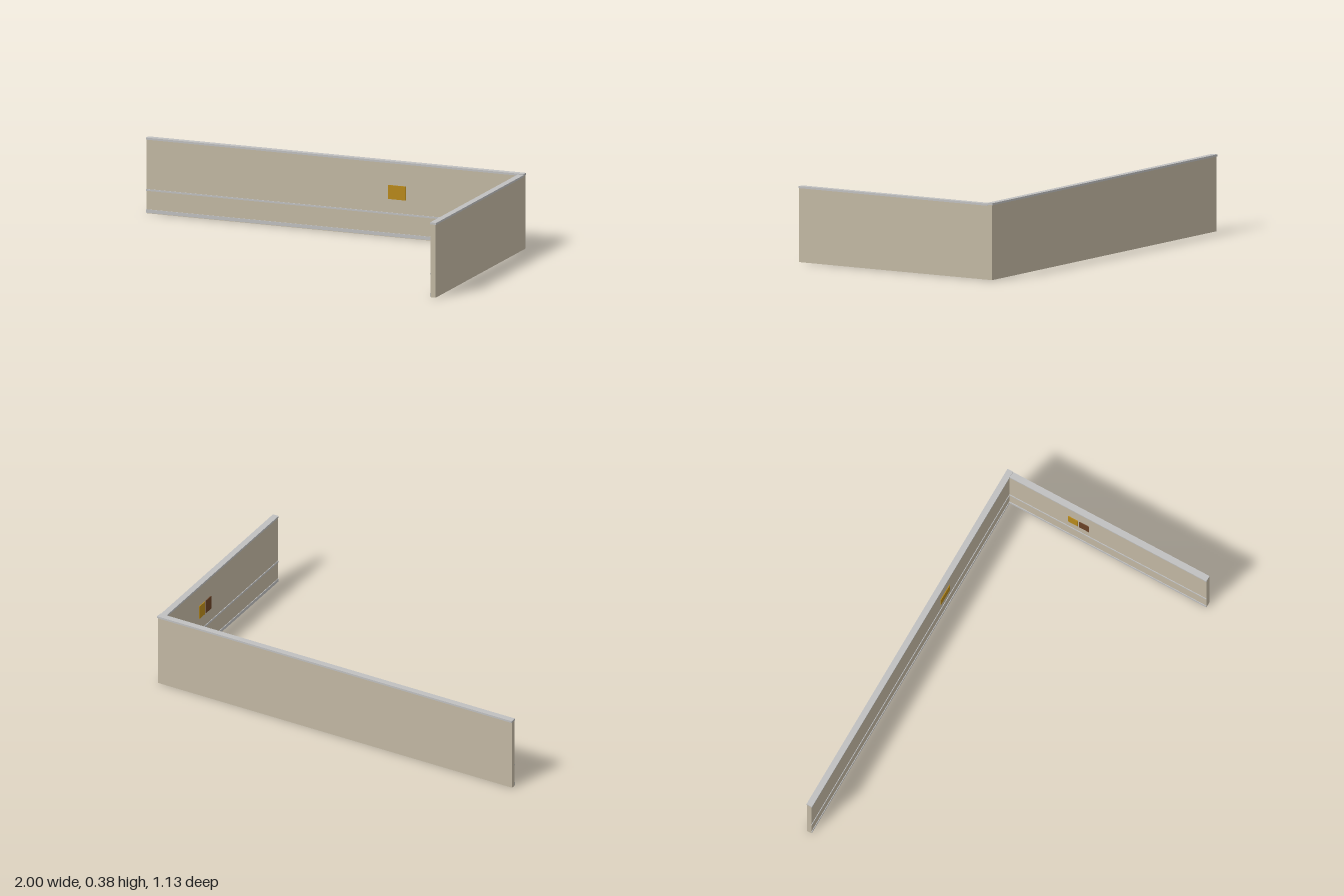
import * as THREE from 'three';

export function createModel() {
  const model = new THREE.Group();
  const material = (name, color) => {
    const m = new THREE.MeshStandardMaterial({ color });
    m.name = name;
    return m;
  };
  const wall = material('beige wall', 0xc2b8a3);
  const trim = material('light grey trim', 0xc0c0c0);
  const gold = material('gold panel', 0xb8891a);
  const brown = material('brown panel', 0x6b4226);

  // Box given by its lower and upper limits on each axis
  const box = (name, mat, [x0, x1], [y0, y1], [z0, z1]) => {
    const mesh = new THREE.Mesh(new THREE.BoxGeometry(x1 - x0, y1 - y0, z1 - z0), mat);
    mesh.position.set((x0 + x1) / 2, (y0 + y1) / 2, (z0 + z1) / 2);
    mesh.name = name;
    model.add(mesh);
  };

  // Two walls meeting in a corner
  box('backWall', wall, [-1, 0.998], [0, 0.37], [-0.563, -0.54]);
  box('sideWall', wall, [0.971, 0.998], [0, 0.365], [-0.54, 0.565]);

  // Caps along the wall tops
  box('backWallCap', trim, [-1, 1], [0.37, 0.38], [-0.567, -0.536]);
  box('sideWallCap', trim, [0.968, 1], [0.365, 0.375], [-0.536, 0.565]);

  // Skirting and rail on the inner faces
  for (const [name, y] of [['Skirting', [0.003, 0.02]], ['Rail', [0.113, 0.122]]]) {
    box('back' + name, trim, [-1, 0.971], y, [-0.54, -0.537]);
    box('side' + name, trim, [0.968, 0.971], y, [-0.537, 0.565]);
  }

  // Hanging panels on the inner faces
  box('backPanel', gold, [0.283, 0.375], [0.19, 0.26], [-0.54, -0.536]);
  box('sideGoldPanel', gold, [0.967, 0.971], [0.19, 0.26], [-0.21, -0.155]);
  box('sideBrownPanel', brown, [0.967, 0.971], [0.19, 0.26], [-0.147, -0.093]);

  return model;
}
